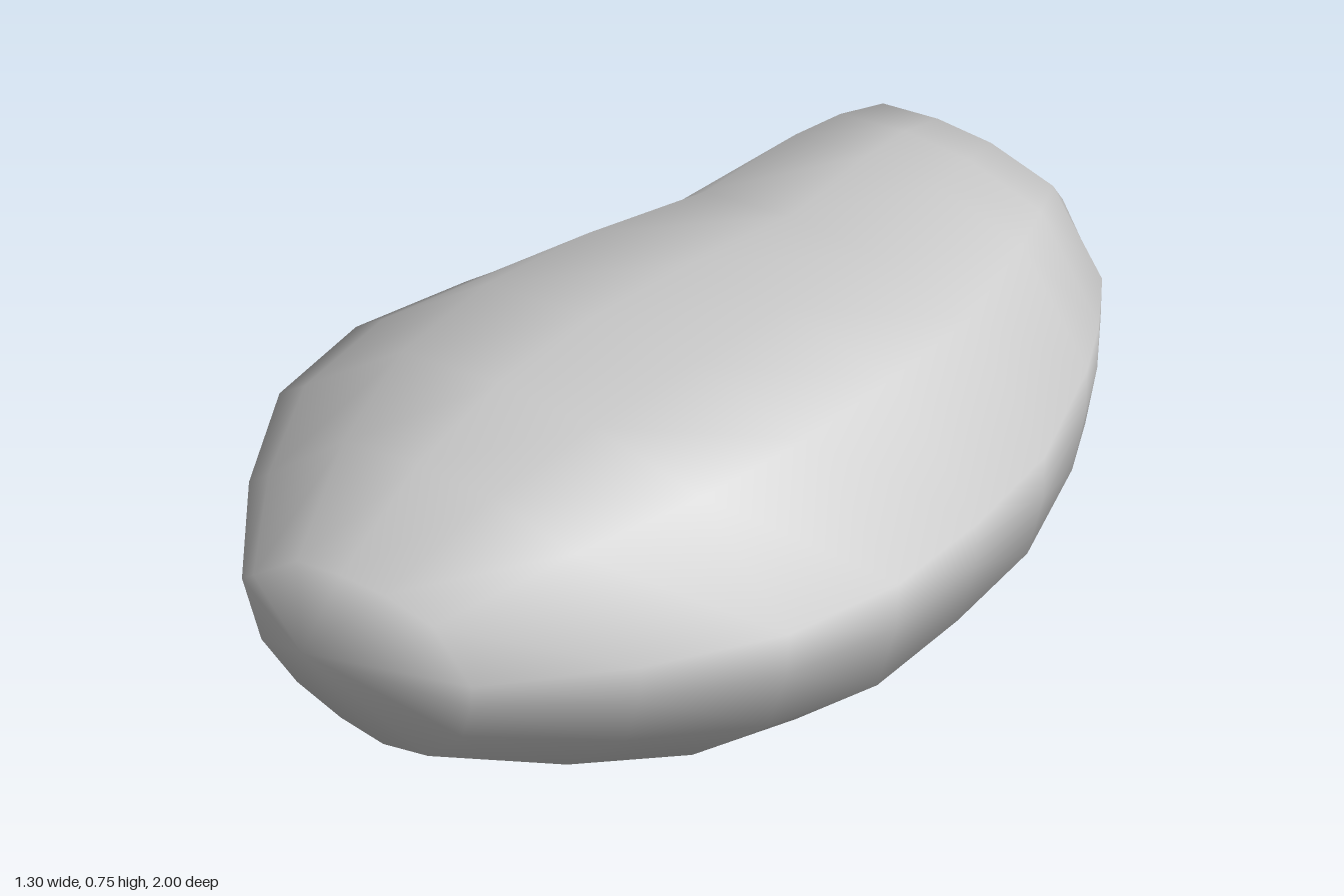
import * as THREE from 'three';

// Cross-section outline, counter-clockwise: u across the width, v above / below the widest line
const OUTLINE = [
  [1, 0.05], [0.66, 0.85], [0.23, 1], [-0.14, 0.98], [-0.52, 0.85], [-0.9, 0.17], [-1, 0],
  [-0.83, -0.53], [-0.52, -0.79], [-0.14, -0.94], [0.23, -1], [0.62, -0.9], [0.92, -0.53], [0.99, -0.2],
];

// Stations from back to front: z, left edge x, right edge x, bottom y, widest y, top y
const STATIONS = [
  [-0.99, -0.10, 0.16, 0.21, 0.38, 0.47],
  [-0.83, -0.35, 0.34, 0.055, 0.46, 0.66],
  [-0.71, -0.385, 0.43, 0.03, 0.46, 0.71],
  [-0.59, -0.42, 0.50, 0.015, 0.46, 0.73],
  [-0.33, -0.46, 0.61, 0.025, 0.46, 0.75],
  [-0.09, -0.58, 0.645, 0.02, 0.46, 0.755],
  [0.15, -0.65, 0.65, 0, 0.46, 0.75],
  [0.40, -0.63, 0.59, 0.045, 0.46, 0.735],
  [0.65, -0.50, 0.44, 0.13, 0.46, 0.695],
  [0.88, -0.33, 0.22, 0.225, 0.45, 0.57],
];

function loftStone() {
  const n = OUTLINE.length, rows = STATIONS.length;
  const positions = [], index = [];
  for (const [z, x0, x1, bottom, mid, top] of STATIONS) {
    for (const [u, v] of OUTLINE) {
      const x = (x0 + x1) / 2 + u * (x1 - x0) / 2;
      const y = mid + v * (v > 0 ? top - mid : mid - bottom);
      positions.push(x, y, z);
    }
  }
  // skin between neighbouring stations
  for (let r = 0; r < rows - 1; r++) {
    for (let i = 0; i < n; i++) {
      const a = r * n + i, b = r * n + (i + 1) % n;
      index.push(a, b, b + n, a, b + n, a + n);
    }
  }
  // blunt back end and pointed front end
  const back = rows * n, front = back + 1, last = (rows - 1) * n;
  positions.push(0.03, 0.35, -1, -0.09, 0.46, 1);
  for (let i = 0; i < n; i++) {
    const j = (i + 1) % n;
    index.push(back, j, i, front, last + i, last + j);
  }
  const geometry = new THREE.BufferGeometry();
  geometry.setAttribute('position', new THREE.Float32BufferAttribute(positions, 3));
  geometry.setIndex(index);
  geometry.computeVertexNormals();
  return geometry;
}

export function createModel() {
  const group = new THREE.Group();
  group.name = 'pebble';
  const stone = new THREE.Mesh(loftStone(), new THREE.MeshStandardMaterial({ color: 0xcccccc }));
  stone.name = 'stone';
  group.add(stone);
  return group;
}
